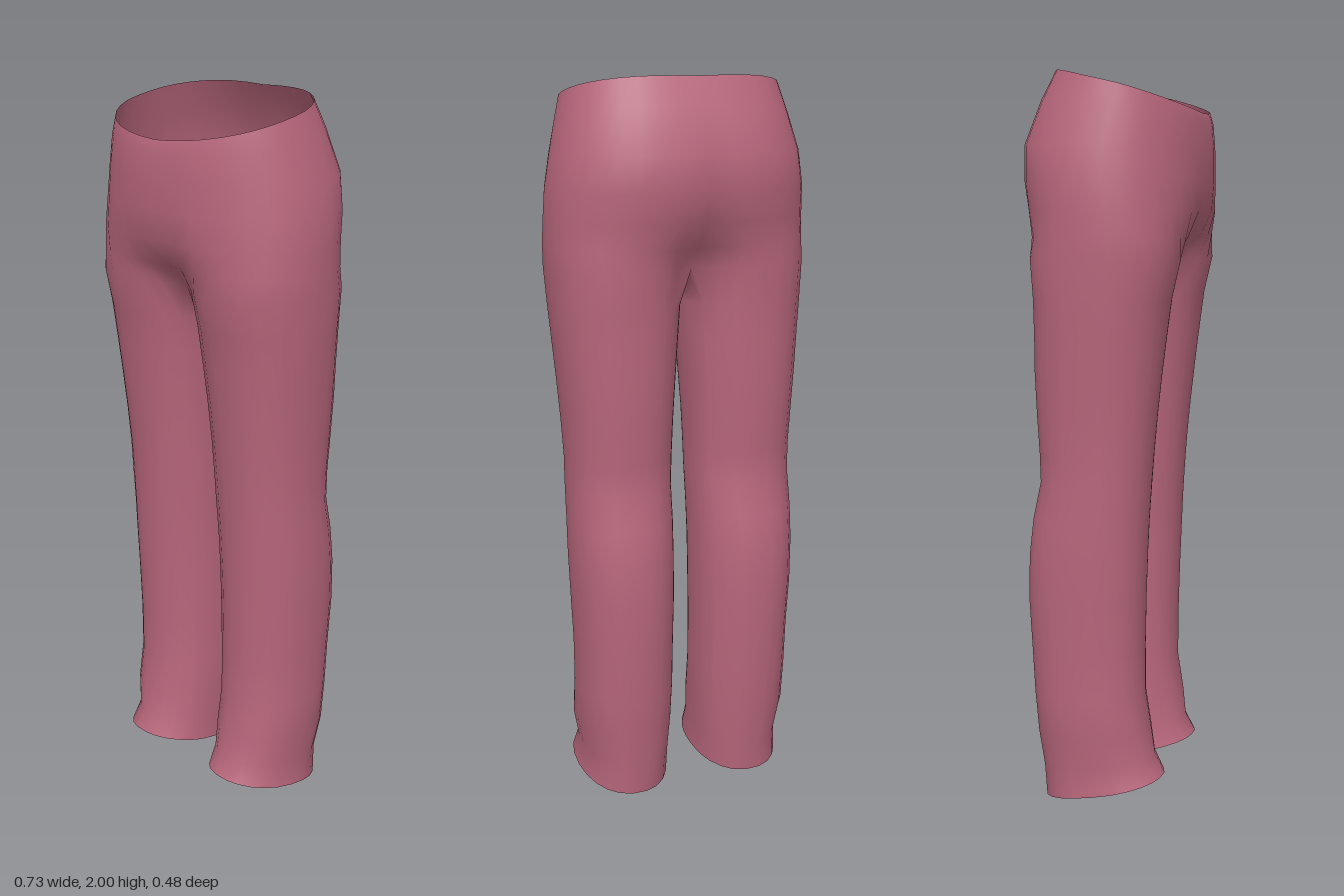
import * as THREE from 'three';
import { mergeVertices } from 'three/addons/utils/BufferGeometryUtils.js';

// Cross-sections from waistband to hem:
// [height, outer x, inner x, front z, back z, front-to-back tilt, leg roundness 0 (hip) .. 1 (leg)]
const ROWS = [
  [1.945, 0.305, 0, 0.235, -0.155, -0.055, 0],
  [1.895, 0.322, 0, 0.245, -0.198, -0.03, 0],
  [1.80, 0.345, 0, 0.25, -0.245, -0.005, 0],
  [1.71, 0.36, 0, 0.25, -0.243, 0, 0],
  [1.63, 0.363, 0, 0.25, -0.228, 0, 0.12],
  [1.56, 0.365, 0, 0.232, -0.205, 0, 0.45],
  [1.50, 0.363, 0, 0.213, -0.19, 0, 1],   // crotch seam
  [1.40, 0.358, 0.006, 0.19, -0.182, 0, 1],
  [1.30, 0.35, 0.015, 0.177, -0.18, 0, 1],
  [1.20, 0.342, 0.024, 0.165, -0.18, 0, 1],
  [1.08, 0.333, 0.032, 0.152, -0.175, 0, 1],
  [0.98, 0.327, 0.036, 0.143, -0.169, 0, 1],
  [0.90, 0.327, 0.038, 0.137, -0.166, 0, 1],
  [0.80, 0.328, 0.04, 0.131, -0.188, 0, 1],
  [0.70, 0.328, 0.042, 0.127, -0.2, 0, 1],
  [0.58, 0.324, 0.043, 0.123, -0.204, 0, 1],
  [0.44, 0.317, 0.045, 0.12, -0.197, 0, 1],
  [0.31, 0.315, 0.045, 0.12, -0.19, 0, 1],
  [0.20, 0.314, 0.046, 0.137, -0.18, 0.005, 1],
  [0.11, 0.295, 0.052, 0.147, -0.168, 0.02, 1],
  [0.04, 0.305, 0.05, 0.175, -0.16, 0.037, 1],
];
const CROTCH = 6;
const OUTER = 18;                       // segments front seam -> side -> back seam
const INNER = 10;                       // segments of the inner thigh
const RING = OUTER + INNER;
const SEAM = THREE.MathUtils.degToRad(55); // how far the seams wrap round each leg

// Slightly squared sine and cosine
const squared = v => Math.sign(v) * Math.pow(Math.abs(v), 0.9);

// One point of the left half at row i, column j
function surfacePoint(i, j) {
  const [y, outer, inner, front, back, tilt, leg] = ROWS[i];
  const onInner = j > OUTER;
  const zMid = (front + back) / 2, zHalf = (front - back) / 2;
  const u = j / OUTER;
  const v = (j - OUTER) / INNER;
  const hipAngle = Math.PI * Math.min(u, 1);
  const legAngle = onInner
    ? Math.PI + SEAM + v * (Math.PI - 2 * SEAM)
    : -SEAM + u * (Math.PI + 2 * SEAM);

  const legX = (outer + inner) / 2 + (outer - inner) / 2 * squared(Math.sin(legAngle));
  const legZ = zMid + zHalf * squared(Math.cos(legAngle));
  const hipX = outer * squared(Math.sin(hipAngle));
  const dent = hipAngle > 2.6 ? 0.012 * (hipAngle - 2.6) / 0.54 : 0;
  const hipZ = zMid + zHalf * squared(Math.cos(hipAngle)) + dent;

  let x = THREE.MathUtils.lerp(hipX, legX, leg);
  const z = THREE.MathUtils.lerp(hipZ, legZ, leg);
  let py = y + tilt * Math.cos(leg > 0.5 ? legAngle : hipAngle);
  if (i === 0) py += 0.015 * Math.sin(hipAngle);
  if (i <= CROTCH && (j === 0 || j >= OUTER)) x = 0;
  // The seam sags between the legs
  if (i === CROTCH && onInner) py -= 0.075 * Math.sin(Math.PI * v);
  return [x, py, z];
}

function trouserGeometry() {
  const positions = [], index = [];
  for (const side of [1, -1]) {
    const start = positions.length / 3;
    for (let i = 0; i < ROWS.length; i++) {
      for (let j = 0; j < RING; j++) {
        const [x, y, z] = surfacePoint(i, j);
        positions.push(x * side, y, z);
      }
    }
    for (let i = 0; i < ROWS.length - 1; i++) {
      // Above the crotch only the outer half of the ring exists
      const columns = i < CROTCH ? OUTER : RING;
      for (let j = 0; j < columns; j++) {
        const next = (j + 1) % RING;
        const a = start + i * RING + j, c = start + i * RING + next;
        const b = a + RING, d = c + RING;
        if (side > 0) index.push(a, b, c, c, b, d);
        else index.push(a, c, b, c, d, b);
      }
    }
  }
  let geometry = new THREE.BufferGeometry();
  geometry.setAttribute('position', new THREE.Float32BufferAttribute(positions, 3));
  geometry.setIndex(index);
  geometry = mergeVertices(geometry, 1e-4); // weld the halves along the centre seam
  geometry.computeVertexNormals();
  return geometry;
}

export function createModel() {
  const cloth = new THREE.MeshStandardMaterial({ color: 0xb8677c, side: THREE.DoubleSide });
  cloth.name = 'rose cloth';
  const trousers = new THREE.Mesh(trouserGeometry(), cloth);
  trousers.name = 'trousers';
  const model = new THREE.Group();
  model.name = 'trouserModel';
  model.add(trousers);
  return model;
}
